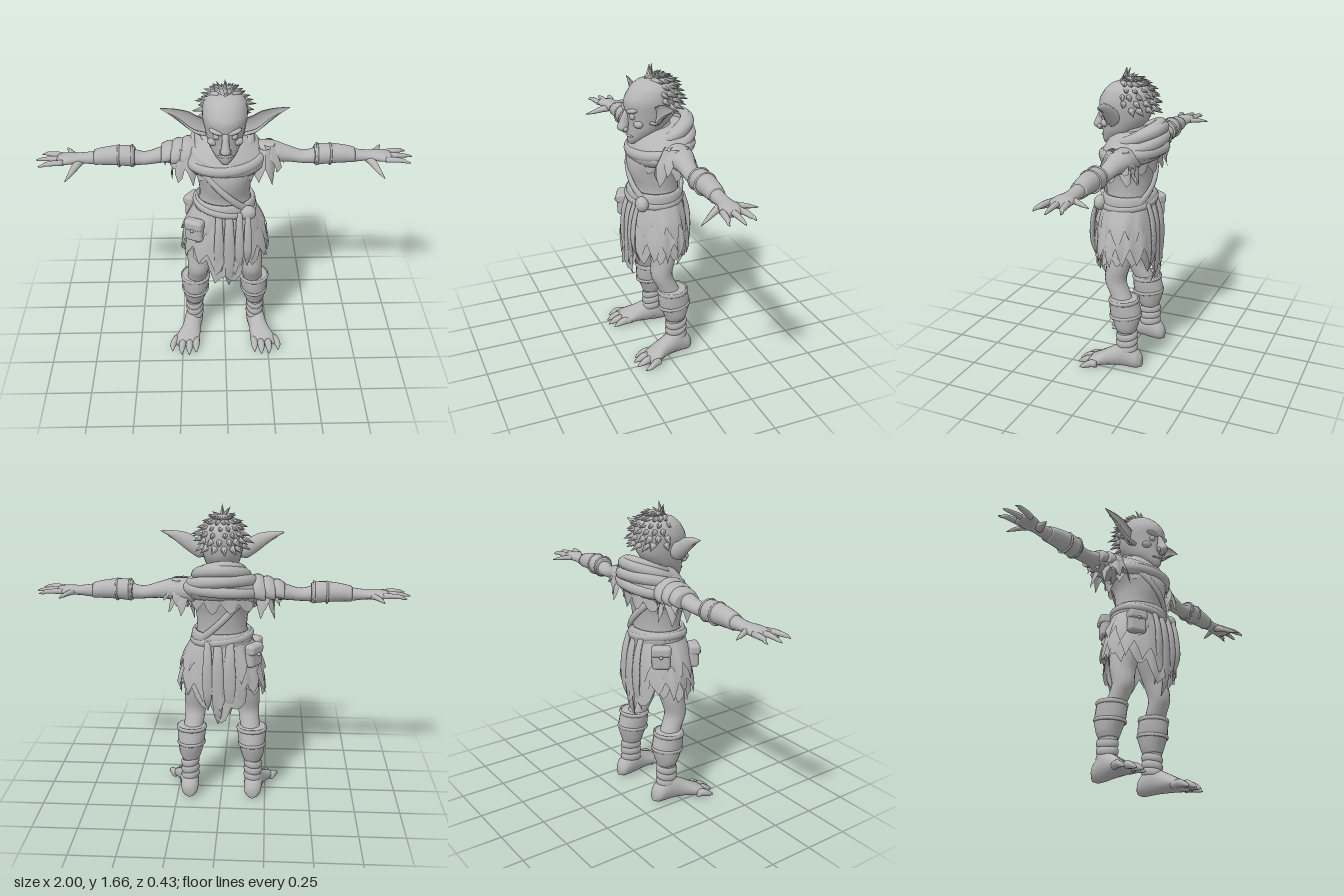
import * as THREE from 'three';
import { RoundedBoxGeometry } from 'three/addons/geometries/RoundedBoxGeometry.js';

const clayGrey = new THREE.MeshStandardMaterial({ color: 0xb6b6b6, side: THREE.DoubleSide });

let seed = 7;
const rnd = () => (seed = (seed * 16807) % 2147483647) / 2147483647;

function add(parent, name, geo, pos = [0, 0, 0], rot = [0, 0, 0]) {
  const m = new THREE.Mesh(geo, clayGrey);
  m.name = name;
  m.position.set(...pos);
  m.rotation.set(...rot);
  parent.add(m);
  return m;
}

// Surface over a grid of points, (u: across, v: along)
function grid(pts, cols, rows, wrapU, wrapV) {
  const idx = [];
  for (let i = 0; i < (wrapV ? rows : rows - 1); i++) for (let j = 0; j < (wrapU ? cols : cols - 1); j++) {
    const i2 = (i + 1) % rows, j2 = (j + 1) % cols;
    const a = i * cols + j, b = i * cols + j2, c = i2 * cols + j, d = i2 * cols + j2;
    idx.push(a, b, c, b, d, c);
  }
  const g = new THREE.BufferGeometry();
  g.setAttribute('position', new THREE.Float32BufferAttribute(pts.flat(), 3));
  g.setIndex(idx);
  g.computeVertexNormals();
  return g;
}

// Smooth body through elliptical rings [x, y, z, radiusA, radiusB] set across one axis
function loft(axis, rings, { s = 1, sides = 18, sub = 4, mod = null } = {}) {
  const k = 'xyz'.indexOf(axis);
  let r = rings.map(q => [q[0] * s, ...q.slice(1)]);
  if (r[r.length - 1][k] < r[0][k]) r = r.reverse();
  const cen = new THREE.CatmullRomCurve3(r.map(q => new THREE.Vector3(q[0], q[1], q[2])));
  const rad = new THREE.CatmullRomCurve3(r.map(q => new THREE.Vector3(q[3], q[4], 0)));
  const n = (r.length - 1) * sub, pts = [];
  for (let i = -1; i <= n + 1; i++) {
    const u = Math.min(Math.max(i / n, 0), 1), c = cen.getPoint(u), q = rad.getPoint(u);
    const f = i < 0 || i > n ? 0 : 1;
    for (let j = 0; j < sides; j++) {
      const t = j / sides * Math.PI * 2, C = Math.cos(t) * f, S = Math.sin(t) * f;
      const d = axis === 'y' ? [q.x * S, 0, q.y * C] : axis === 'x' ? [0, q.x * C, q.y * S] : [q.x * C, q.y * S, 0];
      if (mod) mod(d);
      pts.push([c.x + d[0], c.y + d[1], c.z + d[2]]);
    }
  }
  return grid(pts, sides, n + 3, true, false);
}

// Closed band running round the body; centre(t) gives its middle line
function hoop(centre, h, d, seg = 48) {
  const pts = [];
  for (let i = 0; i < seg; i++) {
    const t = i / seg * Math.PI * 2, c = centre(t);
    for (let j = 0; j < 10; j++) {
      const a = j / 10 * Math.PI * 2, r = d * Math.cos(a);
      pts.push([c[0] + r * Math.sin(t), c[1] - h * Math.sin(a), c[2] + r * Math.cos(t)]);
    }
  }
  return grid(pts, 10, seg, true, true).scale(1, 1, 1);
}
const ring = (x, y, z, a, b, tilt = 0, lean = 0) => t =>
  [x + a * Math.sin(t), y - tilt * Math.cos(t) - lean * Math.sin(t), z + b * Math.cos(t)];

// Hanging cloth with a torn hem; top and bottom are [y, radiusX, radiusZ]
function rag(top, bot, teeth, { x = 0, z = 0, t0 = 0, t1 = Math.PI * 2, jag = 0.1, hem = () => 0 } = {}) {
  const cols = teeth * 4 + 1, rows = 7, pts = [];
  const ends = [];
  for (let j = 0; j < cols; j++) {
    const w = [0, 0.45, 1, 0.6][j % 4] * (0.65 + rnd() * 0.5);
    ends.push([bot[0] + jag * (1 - w) + hem(t0 + (t1 - t0) * j / (cols - 1)), (rnd() - 0.5) * 0.03]);
  }
  ends[cols - 1] = ends[0];
  for (let i = 0; i < rows; i++) for (let j = 0; j < cols; j++) {
    const t = t0 + (t1 - t0) * j / (cols - 1), v = i / (rows - 1);
    const y = top[0] + (ends[j][0] - top[0]) * v;
    const f = Math.sin(Math.min((top[0] - y) / (top[0] - bot[0]), 1) * Math.PI / 2), e = ends[j][1] * v;
    pts.push([x + (top[1] + (bot[1] - top[1]) * f + e) * Math.sin(t), y,
      z + (top[2] + (bot[2] - top[2]) * f + e) * Math.cos(t)]);
  }
  return grid(pts.reverse(), cols, rows, false, false);
}

function buildHead(g) {
  add(g, 'head', loft('y', [[0, 1.25, .125, .02, .02], [0, 1.28, .09, .052, .062], [0, 1.33, .05, .085, .1],
    [0, 1.4, .022, .104, .135], [0, 1.48, .018, .117, .147], [0, 1.54, .005, .108, .128],
    [0, 1.575, 0, .08, .095], [0, 1.595, 0, .025, .03]], { sides: 28 }));
  add(g, 'nose', loft('y', [[0, 1.315, .165, .012, .012], [0, 1.34, .178, .026, .03], [0, 1.375, .165, .02, .03],
    [0, 1.43, .15, .016, .018]], { sides: 14 }));
  add(g, 'lips', new THREE.SphereGeometry(1, 16, 8).scale(.042, .01, .025), [0, 1.295, .132]);
  for (const s of [-1, 1]) {
    add(g, 'brow', new THREE.SphereGeometry(1, 14, 8).scale(.04, .014, .022), [s * .045, 1.437, .142], [0, s * .3, s * .25]);
    add(g, 'eye', new THREE.SphereGeometry(.018, 12, 8), [s * .045, 1.408, .137]);
    add(g, 'cheekbone', new THREE.SphereGeometry(1, 14, 8).scale(.032, .022, .025), [s * .06, 1.368, .112]);
    add(g, 'nostril', new THREE.SphereGeometry(.014, 10, 8), [s * .02, 1.335, .168]);
    // Long pointed ear, hollowed on its front side
    add(g, 'ear', loft('x', [[.085, 1.415, .03, .03, .03], [.13, 1.42, .035, .052, .035], [.18, 1.45, .035, .05, .032],
      [.24, 1.482, .03, .032, .022], [.29, 1.503, .025, .014, .012], [.328, 1.514, .02, .002, .002]],
    { s, mod: d => { if (d[2] > 0) d[2] *= -.45; d[2] += .012; } }));
    add(g, 'earRim', loft('x', [[.1, 1.378, .055, .01, .012], [.16, 1.396, .052, .009, .01], [.23, 1.452, .042, .006, .008],
      [.29, 1.49, .03, .003, .004]], { s, sides: 8 }));
  }
  // Shaggy hair in rows of locks
  const up = new THREE.Vector3(0, 1, 0);
  for (let row = 0; row < 6; row++) for (let k = 0; k < 15; k++) {
    const el = 1.35 - row * .3, az = (k + row % 2 / 2) / 15 * Math.PI * 2 + rnd() * .2;
    const c = Math.cos(el), front = Math.cos(az);
    if (front > .2 && row > 0 || front > -.1 && row > 3) continue;
    const n = new THREE.Vector3(c * Math.sin(az), Math.sin(el), c * front);
    const dir = n.clone().multiplyScalar(.55).add(new THREE.Vector3(n.x * .5, -.45, n.z * .5 - .25)).normalize();
    const len = .075 + rnd() * .035;
    const m = add(g, 'hairLock', new THREE.ConeGeometry(.026, len, 6), [n.x * .108, 1.472 + n.y * .122, n.z * .125 + .002]);
    m.quaternion.setFromUnitVectors(up, dir);
    m.translateY(len * .2);
  }
}

function buildArm(g, s) {
  add(g, 'arm', loft('x', [[.14, 1.21, -.05, .07, .08], [.25, 1.22, -.05, .06, .07], [.33, 1.212, -.042, .044, .05],
    [.42, 1.195, -.035, .034, .042], [.5, 1.203, -.035, .045, .045], [.6, 1.205, -.035, .047, .043],
    [.7, 1.2, -.033, .034, .037], [.76, 1.2, -.033, .026, .037], [.83, 1.2, -.028, .025, .054],
    [.885, 1.197, -.022, .016, .055]], { s }));
  add(g, 'bracer', loft('x', [[.475, 1.205, -.035, .05, .053], [.49, 1.207, -.035, .057, .057], [.56, 1.212, -.035, .055, .054],
    [.65, 1.208, -.035, .046, .047], [.69, 1.202, -.034, .041, .043]], { s }));
  for (const x of [.49, .56]) add(g, 'bracerRim', new THREE.TorusGeometry(.056, .006, 6, 24), [s * x, 1.209, -.035], [0, Math.PI / 2, 0]);
  // Three long fingers, then the spread outer finger and thumb
  for (const [z0, z1, x1] of [[-.062, -.088, .975], [-.022, -.025, 1], [.018, .045, .98]])
    add(g, 'finger', loft('x', [[.85, 1.198, z0, .016, .017], [.9, 1.202, z0 + (z1 - z0) * .4, .014, .016],
      [.945, 1.2, z0 + (z1 - z0) * .7, .011, .012], [x1 - .02, 1.196, z1, .008, .007], [x1, 1.192, z1, .002, .002]], { s, sides: 10 }));
  add(g, 'outerFinger', loft('z', [[.79, 1.198, -.05, .022, .017], [.815, 1.198, -.09, .016, .014],
    [.835, 1.195, -.13, .011, .01], [.85, 1.19, -.165, .002, .002]], { s, sides: 10 }));
  add(g, 'thumb', loft('z', [[.765, 1.19, -.02, .026, .022], [.79, 1.175, .03, .02, .018],
    [.81, 1.158, .07, .013, .012], [.835, 1.14, .115, .002, .002]], { s, sides: 10 }));
}

function buildLeg(g, s) {
  add(g, 'leg', loft('y', [[.18, .05, -.065, .045, .055], [.18, .15, -.06, .042, .055], [.178, .24, -.055, .046, .055],
    [.17, .36, -.045, .052, .06], [.157, .44, -.01, .056, .058], [.15, .51, .018, .06, .06], [.14, .6, .005, .072, .067],
    [.11, .72, 0, .085, .085], [.08, .85, 0, .075, .09]], { s }));
  add(g, 'greave', loft('y', [[.176, .225, -.055, .05, .056], [.176, .26, -.055, .063, .068], [.172, .33, -.05, .075, .089],
    [.17, .39, -.042, .08, .084], [.17, .42, -.04, .077, .078]], { s }));
  add(g, 'greaveRim', hoop(ring(s * .17, .41, -.04, .079, .08, .004), .012, .007, 28));
  add(g, 'greaveStrap', hoop(ring(s * .172, .32, -.05, .074, .087, .01), .01, .006, 28));
  for (const y of [.12, .16, .2]) add(g, 'ankleWrap', hoop(ring(s * .179, y, -.06, .043, .054, .008, s * .006), .021, .009, 24));
  add(g, 'foot', loft('z', [[.178, .045, -.15, .022, .03], [.18, .058, -.125, .046, .053], [.184, .08, -.06, .053, .075],
    [.2, .062, .02, .055, .056], [.222, .042, .09, .07, .036], [.232, .032, .135, .064, .024]], { s }));
  [[.172, .172, .185], [.21, .212, .205], [.25, .256, .2], [.285, .31, .17]].forEach(([x0, x1, z1], i) =>
    add(g, 'toe', loft('z', [[x0, .034, .08, .02, .02], [(x0 + x1) / 2, .036, z1 - .055, .021, .022],
      [x1, .026, z1 - .025, .016, .017], [x1, .017, z1 - .005, .008, .009], [x1, .01, z1 + .005, .002, .002]], { s, sides: 10 })));
}

function buildClothes(g) {
  add(g, 'tunic', loft('y', [[0, .82, 0, .15, .12], [0, .93, 0, .15, .13], [0, 1, -.003, .137, .125], [0, 1.1, .004, .145, .143],
    [0, 1.19, -.01, .185, .145], [0, 1.26, -.03, .17, .12], [0, 1.32, -.02, .075, .08], [0, 1.38, .01, .06, .07]], { sides: 28 }));
  add(g, 'chestStrap', hoop(ring(0, 1.065, 0, .152, .146, 0, .15), .026, .012));
  // Layered belt, knot and pouches
  add(g, 'belt', hoop(ring(0, .95, 0, .152, .137), .045, .016));
  add(g, 'sash', hoop(ring(0, .945, .002, .158, .143, .005, .02), .022, .017));
  add(g, 'sashKnot', new THREE.SphereGeometry(1, 16, 10).scale(.045, .042, .035), [.12, .94, .12]);
  for (const [x, y, z, a] of [[-.165, .84, .125, -.45], [-.175, .87, -.095, -2.2]]) {
    const p = new THREE.Group();
    p.name = 'pouch';
    p.position.set(x, y, z);
    p.rotation.y = a;
    add(p, 'pouchBag', new RoundedBoxGeometry(.1, .115, .055, 3, .02), [0, -.008, 0]);
    add(p, 'pouchFlap', new RoundedBoxGeometry(.108, .06, .062, 3, .02), [0, .035, .004]);
    add(p, 'pouchButton', new THREE.SphereGeometry(.01, 10, 8), [0, .01, .036]);
    g.add(p);
  }
  // Tattered skirt in three layers, longest at the front and back
  const tail = t => -.13 * Math.pow(Math.abs(Math.cos(t)), 8);
  add(g, 'skirtUnderLayer', rag([.94, .145, .13], [.6, .235, .165], 13, { jag: .09, hem: tail }));
  add(g, 'skirtMiddleLayer', rag([.945, .152, .138], [.63, .243, .175], 15, { jag: .1, hem: t => tail(t) * .5 }));
  add(g, 'skirtTopLayer', rag([.95, .156, .142], [.73, .235, .172], 13, { jag: .1 }));
  // Loose hanging strips of the loincloth
  for (const [x, y, w, d] of [[-.035, .52, .028, 1], [.02, .47, .032, 1], [.075, .56, .026, 1], [.12, .6, .024, 1],
    [-.05, .53, .035, -1], [.015, .47, .035, -1], [.07, .55, .03, -1]])
    add(g, 'hangingStrip', loft('y', [[x, y, d * .135, .002, .002], [x, y + .08, d * .165, w * .7, .007],
      [x, .74, d * .173, w, .01], [x, .86, d * .163, w * .8, .012], [x, .95, d * .138, w * .6, .01]], { sides: 10 }));
  // Cowl over the shoulders with thick folds, raised at the nape
  add(g, 'cowl', loft('y', [[0, 1.17, -.02, .2, .15], [0, 1.21, -.025, .225, .172], [0, 1.26, -.035, .2, .165],
    [0, 1.31, -.04, .14, .14], [0, 1.335, -.04, .1, .11]], { sides: 28, mod: d => { d[1] -= d[2] * .14; } }));
  for (const [y, a, b, tilt, lean, h, w, z] of [[1.3, .125, .125, .055, 0, .036, .036, -.055], [1.255, .165, .15, .045, .012, .034, .032, -.04],
    [1.22, .2, .162, .022, -.012, .03, .024, -.03], [1.33, .105, .105, .05, .008, .022, .028, -.065]])
    add(g, 'cowlFold', hoop(ring(0, y, z, a, b, tilt, lean), h, w));
  add(g, 'cowlFringe', rag([1.22, .19, .155], [1.1, .19, .152], 12, { z: -.02, jag: .07 }));
  // Overlapping shoulder plates on the right, torn sleeves on both sides
  [[.2, .088, .1], [.25, .077, .092], [.3, .062, .08]].forEach(([x, a, b]) =>
    add(g, 'shoulderLayer', loft('x', [[x - .05, 1.225, -.05, a * .8, b * .85], [x, 1.218, -.05, a, b],
      [x + .035, 1.208, -.05, a * .85, b * .95]], { s: -1, mod: d => { if (d[1] < 0) d[1] *= .55; } })));
  for (const s of [-1, 1]) {
    add(g, 'sleeveRagsInner', rag([1.27, .04, .06], [1.08, .085, .11], 7, { x: s * .21, z: -.03, jag: .1 }));
    add(g, 'sleeveRagsOuter', rag([1.275, .03, .05], [1.14, .095, .095], 7, { x: s * .235, z: -.045, jag: .08 }));
  }
}

export function createModel() {
  seed = 7;
  const model = new THREE.Group();
  model.name = 'raggedGoblin';
  const part = (name, build, ...args) => {
    const g = new THREE.Group();
    g.name = name;
    build(g, ...args);
    model.add(g);
  };
  part('headGroup', buildHead);
  part('clothes', buildClothes);
  for (const s of [-1, 1]) {
    const side = s > 0 ? 'left' : 'right';
    part(side + 'Arm', buildArm, s);
    part(side + 'Leg', buildLeg, s);
  }
  return model;
}
